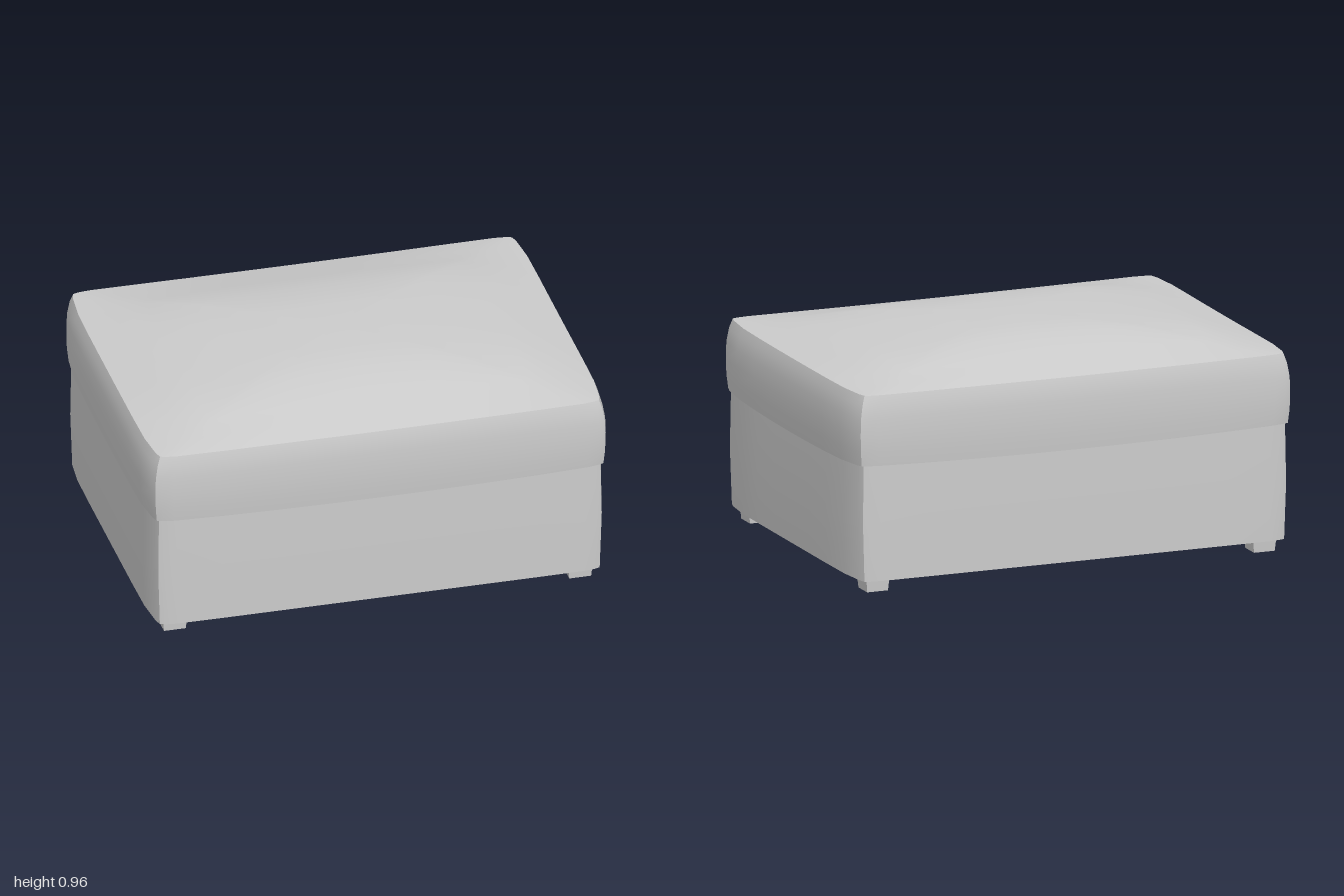
import * as THREE from 'three';
import { toCreasedNormals } from 'three/addons/utils/BufferGeometryUtils.js';

const material = new THREE.MeshStandardMaterial({ color: 0xcccccc });

// Quarter of the soft-cornered rectangular plan, in unit half-extents, mirrored to a full loop
const quarter = [[1, 0], [1, 0.25], [1, 0.5], [0.998, 0.75], [0.985, 0.93], [0.975, 0.978],
  [0.95, 0.99], [0.9, 0.998], [0.7, 1], [0.45, 1], [0.2, 1], [0, 1]];
const outline = [];
for (const [sx, sz] of [[1, 1], [-1, 1], [-1, -1], [1, -1]]) {
  const q = sx * sz > 0 ? quarter : [...quarter].reverse();
  for (const [u, v] of q.slice(0, -1)) outline.push([sx * u, sz * v]);
}

// Skin a list of rings; each ring has half-extents x, z and a height function y(u, v)
function loft(rings, crease) {
  const n = outline.length, pos = [], idx = [];
  for (const r of rings)
    for (const [u, v] of outline) pos.push(u * r.x, r.y(u, v), v * r.z);
  for (let i = 0; i < rings.length - 1; i++) {
    for (let j = 0; j < n; j++) {
      const a = i * n + j, b = i * n + (j + 1) % n, c = a + n, d = b + n;
      if (rings[i].x > 0) idx.push(a, c, b);
      if (rings[i + 1].x > 0) idx.push(b, c, d);
    }
  }
  const g = new THREE.BufferGeometry();
  g.setAttribute('position', new THREE.Float32BufferAttribute(pos, 3));
  g.setIndex(idx);
  return toCreasedNormals(g, crease);
}

// Linear interpolation through [t, value] pairs
function lerpTable(table, t) {
  for (let i = 1; i < table.length; i++) {
    const [t0, v0] = table[i - 1], [t1, v1] = table[i];
    if (t <= t1) return v0 + (v1 - v0) * (t - t0) / (t1 - t0);
  }
  return 0;
}

function add(parent, geometry, name) {
  const mesh = new THREE.Mesh(geometry, material);
  mesh.name = name;
  parent.add(mesh);
  return mesh;
}

// Horizontal ring whose middle sags below its corners
const ring = (x, z, y, sag = 0) => ({ x, z, y: (u, v) => y - sag * (1 - u * u * v * v) });

export function createModel() {
  const group = new THREE.Group();
  group.name = 'ottoman';

  // Hollow base, open at the bottom: ceiling, inner wall, rim, outer wall
  add(group, loft([
    ring(0, 0, 0.55), ring(0.965, 0.72, 0.55),
    ring(0.968, 0.724, 0.3), ring(0.962, 0.722, 0.057),
    ring(0.977, 0.737, 0.057), ring(0.985, 0.74, 0.3), ring(0.981, 0.737, 0.565),
  ], 0.7), 'base');

  // Cushion: underside lip, bulging sides and domed top
  const domeX = [[0, 1], [0.36, 0.93], [0.72, 0.62], [1, 0]];
  const domeZ = [[0, 1], [0.25, 0.98], [0.5, 0.9], [1, 0]];
  const dome = (s) => ({
    x: 0.975 * s, z: 0.732 * s,
    y: (u, v) => 0.86 - 0.005 * s * s * (1 - u * u * v * v)
      + (s === 1 ? 0 : 0.105 * lerpTable(domeX, Math.abs(u) * s) * lerpTable(domeZ, Math.abs(v) * s)),
  });
  const rings = [
    ring(0.965, 0.72, 0.56, 0.018), ring(0.992, 0.742, 0.56, 0.018),
    ring(0.998, 0.748, 0.62, 0.012), ring(1, 0.75, 0.69, 0.005),
    ring(0.998, 0.748, 0.76), ring(0.988, 0.742, 0.82),
  ];
  for (const s of [1, 0.86, 0.72, 0.5, 0.25, 0]) rings.push(dome(s));
  add(group, loft(rings, 0.6), 'cushion');

  // Four short tapered feet
  const foot = new THREE.BoxGeometry(0.105, 0.06, 0.105);
  const p = foot.attributes.position;
  for (let i = 0; i < p.count; i++)
    if (p.getY(i) < 0) p.setXYZ(i, p.getX(i) * 0.9, p.getY(i), p.getZ(i) * 0.9);
  foot.computeVertexNormals();
  for (const sx of [1, -1])
    for (const sz of [1, -1])
      add(group, foot, `${sz > 0 ? 'front' : 'back'}${sx > 0 ? 'Left' : 'Right'}Foot`)
        .position.set(sx * 0.878, 0.03, sz * 0.637);

  return group;
}
